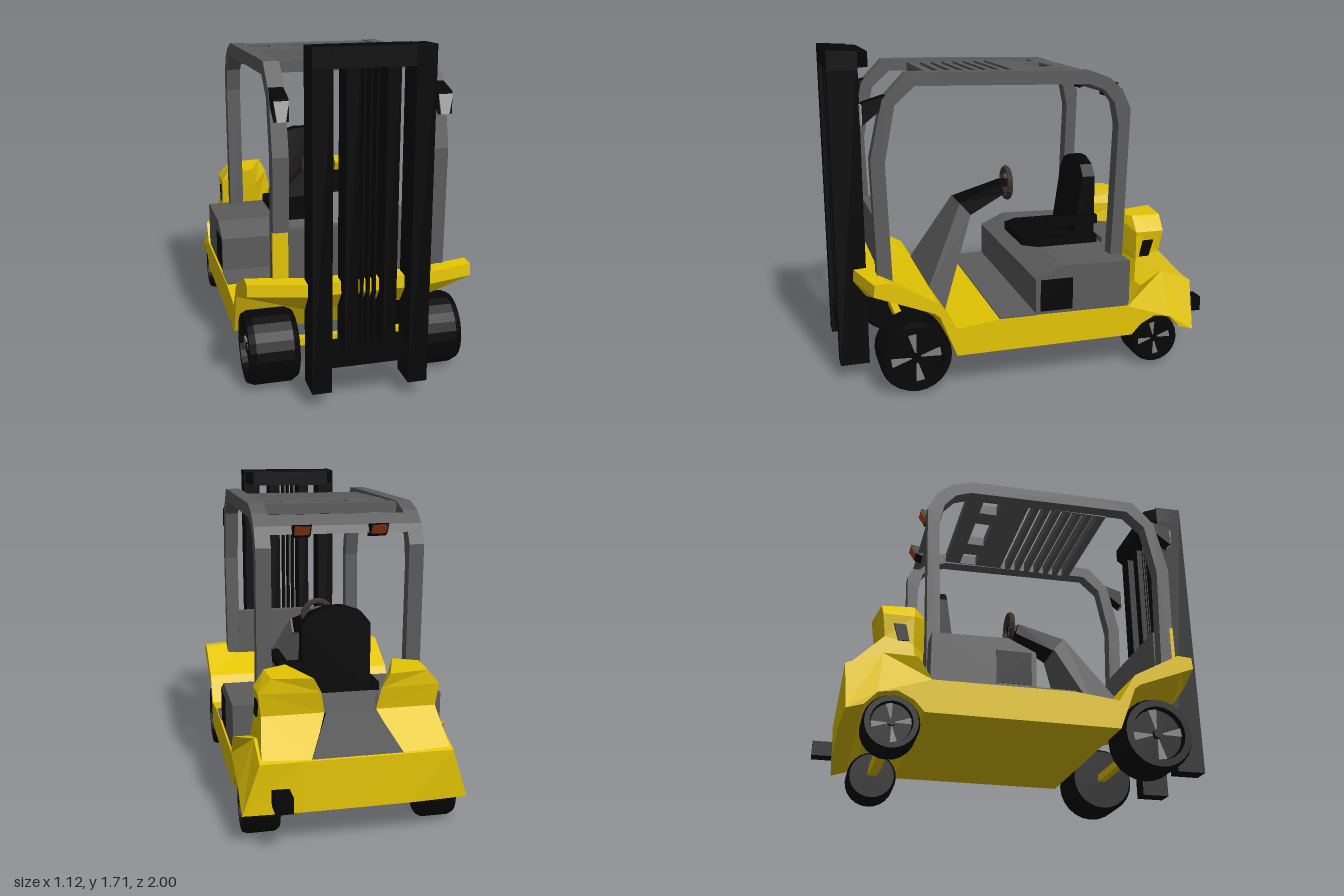
import * as THREE from 'three';

const material = (color) => new THREE.MeshStandardMaterial({ color, flatShading: true });

export function createModel() {
  const root = new THREE.Group();
  const yellow = material(0xe3c404), gray = material(0x5c5c5c), black = material(0x060606);
  const silver = material(0xb4b4b4), orange = material(0xb04a1c), brown = material(0x40342f), spokeGray = material(0x808080);

  const add = (name, geo, mat, parent = root) => {
    const mesh = new THREE.Mesh(geo, mat);
    mesh.name = name;
    parent.add(mesh);
    return mesh;
  };
  // box from its limits
  const box = (name, mat, x0, x1, y0, y1, z0, z1) =>
    add(name, new THREE.BoxGeometry(x1 - x0, y1 - y0, z1 - z0)
      .translate((x0 + x1) / 2, (y0 + y1) / 2, (z0 + z1) / 2), mat);
  const shapeOf = (pts) => new THREE.Shape(pts.map(([a, b]) => new THREE.Vector2(a, b)));
  // side profile of [z, y] points, extruded from x0 to x1
  const sideGeo = (pts, x0, x1, steps = 1) =>
    new THREE.ExtrudeGeometry(shapeOf(pts), { depth: x1 - x0, steps, bevelEnabled: false })
      .rotateY(-Math.PI / 2).translate(x1, 0, 0);
  const side = (name, mat, pts, x0, x1) => add(name, sideGeo(pts, x0, x1), mat);
  // solid through convex rings with equal point counts
  const loft = (name, mat, rings) => {
    const tris = [], n = rings[0].length, last = rings[rings.length - 1];
    for (let r = 0; r + 1 < rings.length; r++)
      for (let i = 0; i < n; i++) {
        const j = (i + 1) % n, a = rings[r], b = rings[r + 1];
        tris.push([a[i], a[j], b[j]], [a[i], b[j], b[i]]);
      }
    for (let i = 1; i + 1 < n; i++)
      tris.push([rings[0][0], rings[0][i + 1], rings[0][i]], [last[0], last[i], last[i + 1]]);
    const v = (p) => new THREE.Vector3(...p);
    const volume = tris.reduce((s, [a, b, c]) => s + v(a).dot(v(b).cross(v(c))), 0);
    if (volume < 0) tris.forEach((t) => t.reverse());
    const geo = new THREE.BufferGeometry();
    geo.setAttribute('position', new THREE.Float32BufferAttribute(tris.flat(2), 3));
    geo.computeVertexNormals();
    return add(name, geo, mat);
  };
  const span = (s, a, b) => (s > 0 ? [a, b] : [-b, -a]);

  // chassis with front fender, floor and rear block
  const chassis = sideGeo([
    [0.92, 0.54], [0.915, 0.6], [0.84, 0.605], [0.53, 0.475], [0.44, 0.33], [0.22, 0.355],
    [-0.49, 0.35], [-0.56, 0.46], [-0.72, 0.5], [-0.895, 0.43], [-0.895, 0.175], [-0.8, 0.2],
    [-0.74, 0.265], [-0.65, 0.28], [-0.57, 0.24], [-0.52, 0.185], [0.44, 0.185], [0.53, 0.34], [0.855, 0.45],
  ], -0.56, 0.56, 4);
  const pos = chassis.attributes.position;
  for (let i = 0; i < pos.count; i++) {
    const x = pos.getX(i), y = pos.getY(i), z = pos.getZ(i);
    if (Math.abs(x) < 0.5) continue;
    if (z > 0.8) pos.setZ(i, z - 0.07); // front corners swept back
    if (z > 0.5 && y < 0.46) pos.setY(i, y + 0.075); // fender thins outwards
    if (z < -0.6 && y > 0.4) pos.setX(i, x * 0.85); // rear flanks lean in
    if (z < -0.85 && y < 0.2) pos.setZ(i, z + 0.015);
  }
  chassis.computeVertexNormals();
  add('chassis', chassis, yellow);
  box('footwellFloor', gray, -0.555, 0.555, 0.34, 0.362, 0.02, 0.215);

  // engine cover under the seat and rear hood
  side('engineCover', gray, [[0.02, 0.34], [0.02, 0.545], [-0.12, 0.61], [-0.5, 0.6], [-0.5, 0.34]], -0.55, 0.55);
  loft('rearHood', gray, [
    [[-0.28, 0.4, -0.48], [0.28, 0.4, -0.48], [0.2, 0.4, -0.76], [-0.2, 0.4, -0.76]],
    [[-0.2, 0.63, -0.48], [0.2, 0.63, -0.48], [0.12, 0.61, -0.74], [-0.12, 0.61, -0.74]],
  ]);
  loft('rearGrille', black, [
    [[-0.23, 0.4, -0.7], [0.23, 0.4, -0.7], [0.225, 0.435, -0.89], [-0.225, 0.435, -0.89]],
    [[-0.13, 0.6, -0.7], [0.13, 0.6, -0.7], [0.125, 0.61, -0.74], [-0.125, 0.61, -0.74]],
  ]);

  // cowl, steering column and wheel
  box('frontPanel', gray, -0.355, 0.355, 0.52, 0.83, 0.735, 0.785);
  loft('cowl', gray, [
    [[-0.28, 0.46, 0.525], [0.28, 0.46, 0.525], [0.28, 0.33, 0.44], [-0.28, 0.33, 0.44]],
    [[-0.1, 0.86, 0.31], [0.1, 0.86, 0.31], [0.1, 0.79, 0.25], [-0.1, 0.79, 0.25]],
  ]);
  loft('steeringColumn', black, [
    [[-0.09, 0.86, 0.31], [0.09, 0.86, 0.31], [0.09, 0.785, 0.25], [-0.09, 0.785, 0.25]],
    [[-0.055, 0.945, 0.06], [0.055, 0.945, 0.06], [0.055, 0.885, 0.045], [-0.055, 0.885, 0.045]],
  ]);
  add('steeringWheel', new THREE.TorusGeometry(0.082, 0.016, 6, 16).translate(0, 0.935, 0.018), brown);
  for (let i = 0; i < 3; i++)
    add('steeringSpoke', new THREE.BoxGeometry(0.018, 0.08, 0.014).translate(0, 0.04, 0)
      .rotateZ(Math.PI / 3 + i * Math.PI * 2 / 3).translate(0, 0.935, 0.018), brown);
  box('steeringHub', black, -0.02, 0.02, 0.915, 0.955, 0.01, 0.07);

  // seat with one armrest
  loft('seatCushion', black, [0.615, 0.66].map((y) => [
    [-0.17, y, -0.02], [0.17, y, -0.02], [0.23, y, -0.1], [0.23, y, -0.44], [-0.23, y, -0.44], [-0.23, y, -0.1]]));
  const back = [[-0.18, 0.64], [0.18, 0.64], [0.18, 0.98], [0.13, 1.04], [0.04, 1.07], [-0.04, 1.07], [-0.13, 1.04], [-0.18, 0.98]];
  loft('seatBack', black, [back.map(([x, y]) => [x, y, y < 0.7 ? -0.32 : -0.37]), back.map(([x, y]) => [x, y, -0.44])]);
  box('armrest', black, 0.25, 0.3, 0.745, 0.79, -0.41, -0.13);
  box('armrestBracket', black, 0.17, 0.27, 0.75, 0.785, -0.42, -0.37);

  // overhead guard
  const rail = [
    [0.81, 0.53], [0.825, 1.19], [0.76, 1.48], [0.64, 1.605], [0.47, 1.605], [-0.3, 1.59], [-0.41, 1.55],
    [-0.48, 1.49], [-0.53, 1.39], [-0.5, 0.35], [-0.43, 0.35], [-0.465, 1.3], [-0.44, 1.42], [-0.38, 1.49],
    [-0.3, 1.52], [0.6, 1.54], [0.7, 1.45], [0.755, 1.17], [0.735, 0.53]];
  const roof = shapeOf([[-0.36, -0.3], [0.36, -0.3], [0.36, 0.5], [-0.36, 0.5]]);
  const hole = (x0, x1, z0, z1) => roof.holes.push(
    new THREE.Path([[x0, z0], [x0, z1], [x1, z1], [x1, z0]].map(([a, b]) => new THREE.Vector2(a, b))));
  hole(-0.12, 0.11, -0.21, -0.11);
  for (const s of [-1, 1]) hole(...span(s, 0.23, 0.345), -0.21, -0.11);
  for (let i = 0; i < 7; i++) hole(-0.35, 0.35, 0.048 + i * 0.0625, 0.08 + i * 0.0625);
  add('roofGrille', new THREE.ExtrudeGeometry(roof, { depth: 0.055, bevelEnabled: false })
    .rotateX(Math.PI / 2).translate(0, 1.585, 0), gray);
  side('roofRearBar', gray, [[-0.42, 1.54], [-0.48, 1.49], [-0.5, 1.45], [-0.46, 1.45], [-0.42, 1.49]], -0.36, 0.36);

  // mast
  side('mastTopBeam', black, [[1, 1.61], [1, 1.705], [0.85, 1.7], [0.85, 1.61]], -0.285, 0.285);
  loft('mastTopBracket', black, [1.62, 1.695].map((y) => [[-0.285, y, 0.86], [0.285, y, 0.86], [0.235, y, 0.795], [-0.235, y, 0.795]]));
  box('mastBottomBeam', black, -0.2, 0.2, 0.2, 0.285, 0.86, 0.99);
  for (const x of [-0.03, 0, 0.03]) box('mastChain', black, x - 0.005, x + 0.005, 0.25, 1.65, 0.88, 0.95);

  // axles
  box('frontAxle', yellow, -0.4, 0.4, 0.17, 0.21, 0.62, 0.66);
  loft('rearAxle', yellow, [-0.69, -0.64].map((z) =>
    [[-0.4, 0.14, z], [-0.08, 0.1, z], [0.08, 0.1, z], [0.4, 0.14, z], [0.4, 0.17, z], [-0.4, 0.17, z]]));

  const wheel = (name, s, r, w, x, z) => {
    const g = new THREE.Group();
    g.name = name;
    const h = w / 2;
    const profile = [[0, -h], [r * 0.9, -h], [r, -h * 0.75], [r, h * 0.75], [r * 0.93, h], [r * 0.74, h], [r * 0.7, h * 0.75], [0, h * 0.75]];
    add('tire', new THREE.LatheGeometry(profile.map(([a, b]) => new THREE.Vector2(a, b)), 24).rotateZ(-Math.PI / 2), black, g);
    for (let i = 0; i < 4; i++)
      add('wheelSpoke', new THREE.ConeGeometry(r * 0.17, r * 0.66, 4).rotateY(Math.PI / 4).rotateX(Math.PI)
        .translate(0, r * 0.36, 0).scale(0.25, 1, 1).rotateX(i * Math.PI / 2 + 0.15).translate(h * 0.78, 0, 0), spokeGray, g);
    add('wheelHub', new THREE.CylinderGeometry(r * 0.13, r * 0.13, h * 0.2, 10).rotateZ(Math.PI / 2).translate(h * 0.82, 0, 0), black, g);
    g.position.set(s * x, r, z);
    if (s < 0) g.rotation.y = Math.PI;
    root.add(g);
  };

  // paired parts
  for (const s of [-1, 1]) {
    wheel('frontWheel', s, 0.185, 0.25, 0.42, 0.643);
    wheel('rearWheel', s, 0.135, 0.18, 0.45, -0.667);
    side('guardRail', gray, rail, ...span(s, 0.35, 0.427));
    box('mastOuterUpright', black, ...span(s, 0.19, 0.285), 0.08, 1.7, 0.85, 1);
    box('mastInnerUpright', black, ...span(s, 0.062, 0.125), 0.22, 1.66, 0.86, 0.985);
    box('sideVent', black, ...span(s, 0.5, 0.553), 0.37, 0.54, -0.18, -0.005);

    // rear pod: flared foot, upright flank with a window, bevelled top
    const ring = (pts) => pts.map(([x, y, z]) => [s * x, y, z]);
    loft('rearPod', yellow, [
      ring([[0.48, 0.42, -0.56], [0.24, 0.42, -0.49], [0.22, 0.43, -0.89], [0.465, 0.43, -0.88]]),
      ring([[0.455, 0.57, -0.575], [0.25, 0.6, -0.49], [0.13, 0.61, -0.73], [0.44, 0.605, -0.715]]),
      ring([[0.455, 0.72, -0.575], [0.26, 0.72, -0.49], [0.15, 0.72, -0.75], [0.455, 0.72, -0.73]]),
      ring([[0.4, 0.8, -0.57], [0.28, 0.8, -0.5], [0.19, 0.795, -0.765], [0.39, 0.795, -0.735]]),
    ]);
    side('podWindow', black, [[-0.595, 0.585], [-0.615, 0.672], [-0.675, 0.672], [-0.65, 0.585]], ...span(s, 0.4, 0.457));

    // work lamp on the front post
    side('lampHousing', black, [[0.855, 1.36], [0.855, 1.465], [0.74, 1.5], [0.74, 1.45]], ...span(s, 0.355, 0.425));
    loft('lampLens', silver, [0.85, 0.862].map((z) =>
      ring([[0.37, 1.36, z], [0.41, 1.36, z], [0.425, 1.455, z], [0.355, 1.455, z]])));

    // tail lamp behind the rear roof bar
    side('tailLampHousing', black, [[-0.46, 1.49], [-0.54, 1.5], [-0.51, 1.445], [-0.47, 1.43]], ...span(s, 0.15, 0.24));
    side('tailLampLens', orange, [[-0.534, 1.492], [-0.544, 1.492], [-0.514, 1.447], [-0.504, 1.447]], ...span(s, 0.157, 0.233));
  }

  // yellow plate on the right front post, exhaust at the rear
  box('postPlate', yellow, -0.43, -0.355, 0.58, 0.83, 0.8, 0.819);
  box('exhaust', black, 0.335, 0.42, 0.22, 0.3, -1, -0.86);
  return root;
}
